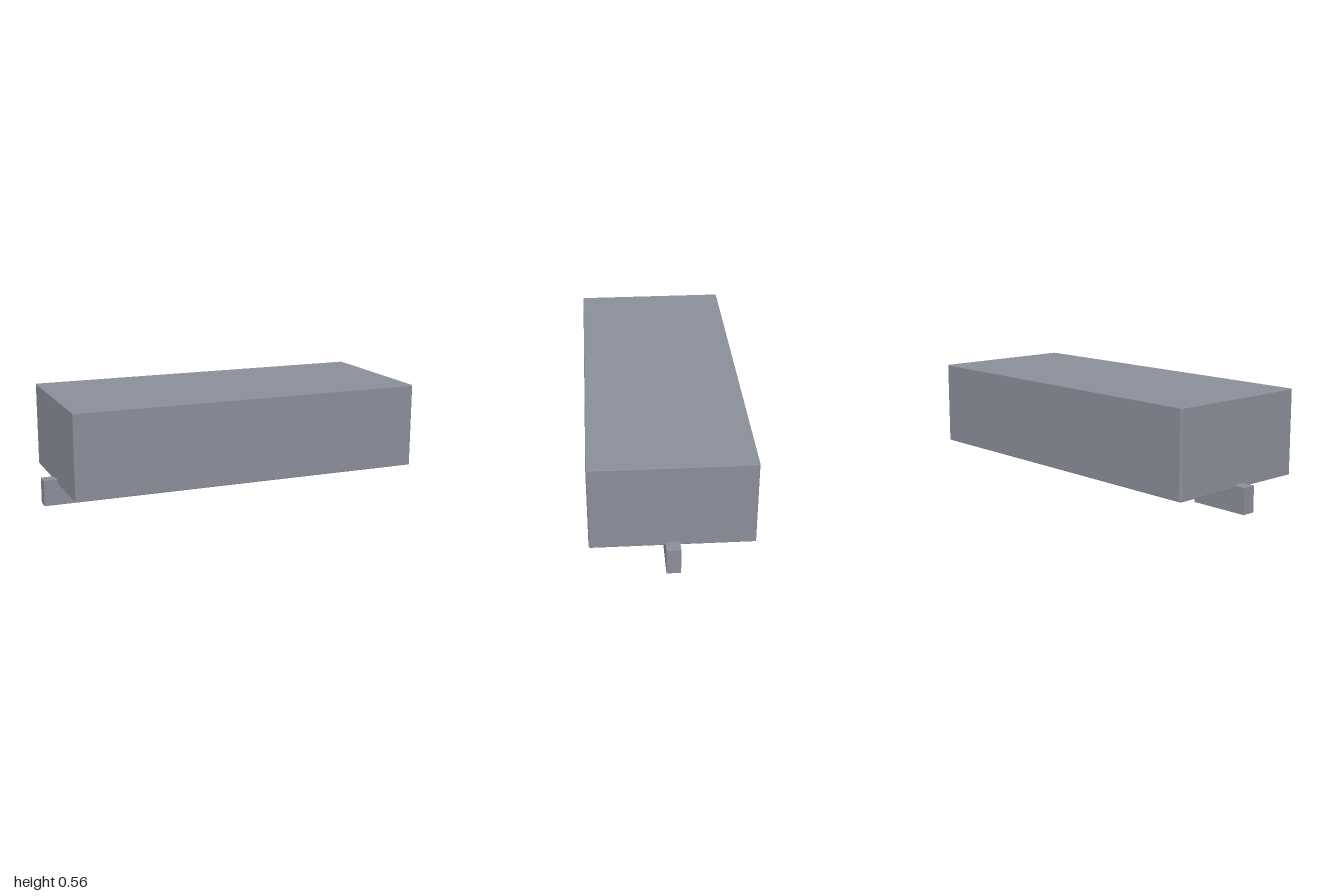
import * as THREE from 'three';

const slateGrey = new THREE.MeshStandardMaterial({ color: 0x8a8e99 });
slateGrey.name = 'slateGrey';

// Rectangle with rounded corners, centred on the origin
function roundedRect(w, d, r) {
  const x = w / 2 - r, y = d / 2 - r;
  const s = new THREE.Shape();
  s.absarc(x, y, r, 0, Math.PI / 2);
  s.absarc(-x, y, r, Math.PI / 2, Math.PI);
  s.absarc(-x, -y, r, Math.PI, Math.PI * 1.5);
  s.absarc(x, -y, r, Math.PI * 1.5, Math.PI * 2);
  s.closePath();
  return s;
}

export function createModel() {
  const model = new THREE.Group();
  model.name = 'boxOnFeet';

  // Main block: softened vertical corners, finely bevelled top and bottom edges
  const bevel = 0.004, bottom = 0.115, top = 0.555;
  const bodyGeometry = new THREE.ExtrudeGeometry(
    roundedRect(1.86 - 2 * bevel, 0.8 - 2 * bevel, 0.008),
    {
      depth: top - bottom - 2 * bevel,
      bevelThickness: bevel,
      bevelSize: bevel,
      bevelSegments: 2,
      curveSegments: 3,
    }
  );
  bodyGeometry.rotateX(-Math.PI / 2);
  bodyGeometry.translate(0, bottom + bevel, 0);
  const body = new THREE.Mesh(bodyGeometry, slateGrey);
  body.name = 'body';
  model.add(body);

  // Narrow feet, set into the underside and reaching past each end
  const footGeometry = new THREE.BoxGeometry(0.32, 0.134, 0.07);
  for (const side of [1, -1]) {
    const foot = new THREE.Mesh(footGeometry, slateGrey);
    foot.name = side > 0 ? 'leftFoot' : 'rightFoot';
    foot.position.set(side * 0.84, 0.067, 0);
    model.add(foot);
  }

  return model;
}
